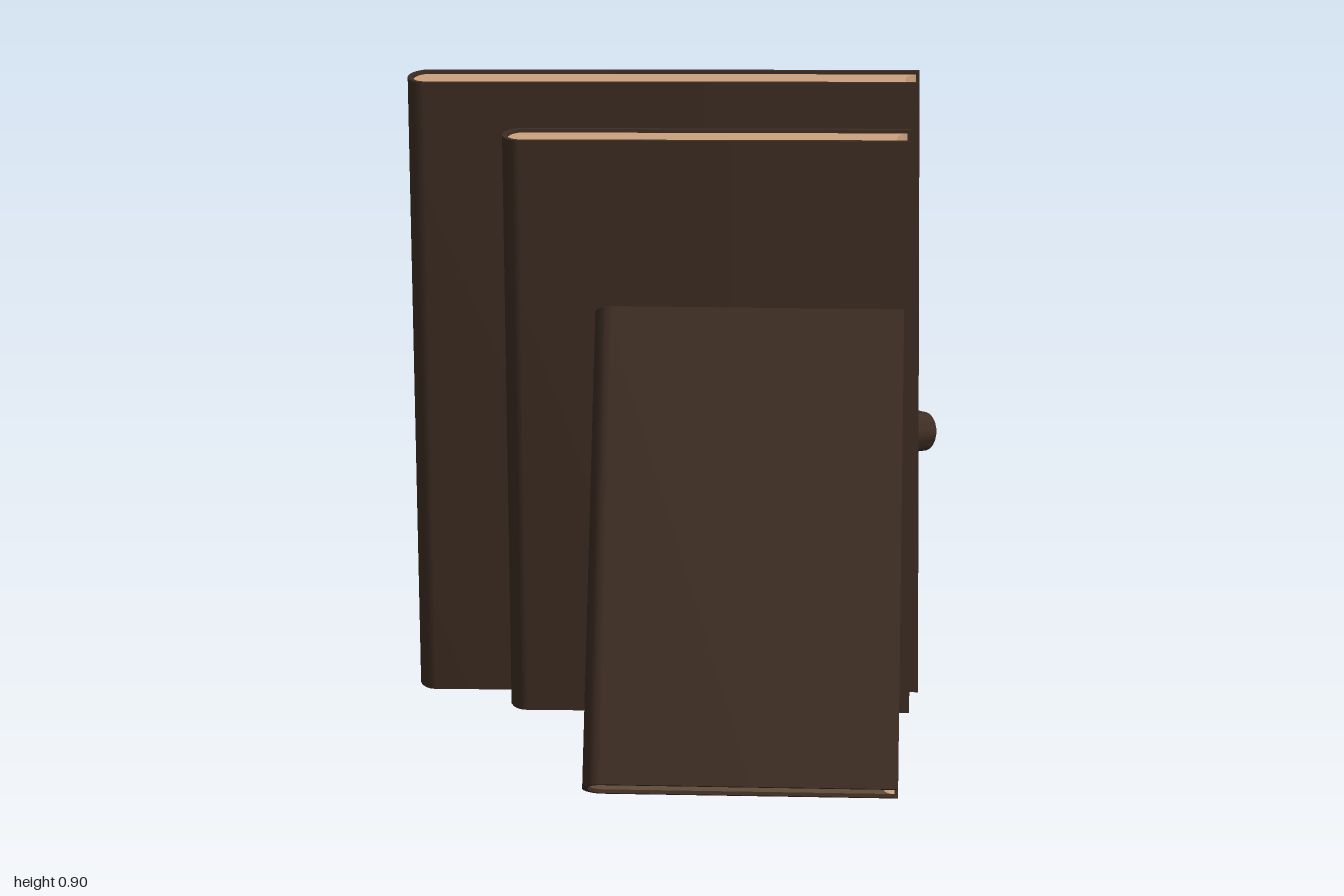
import * as THREE from 'three';
import { toCreasedNormals } from 'three/addons/utils/BufferGeometryUtils.js';

const cover = new THREE.MeshStandardMaterial({ color: 0x3f2e24 });
cover.name = 'darkBrownCover';
const paper = new THREE.MeshStandardMaterial({ color: 0xcda47f });
paper.name = 'tanPaper';

const BOARD = 0.007; // cover thickness
const BULGE = 0.026; // depth of the rounded spine
const INSET = 0.005; // pages sit slightly inside the cover

// Points of a half ellipse facing -x, from +half to -half
function arc(cx, depth, half, n = 10) {
  return Array.from({ length: n + 1 }, (_, i) => {
    const a = Math.PI / 2 + (Math.PI * i) / n;
    return new THREE.Vector2(cx + depth * Math.cos(a), half * Math.sin(a));
  });
}

// Extrudes a plan outline (x, thickness) upward
function upright(points, height, material, name) {
  const extruded = new THREE.ExtrudeGeometry(new THREE.Shape(points), { depth: height, bevelEnabled: false });
  extruded.rotateX(-Math.PI / 2);
  const mesh = new THREE.Mesh(toCreasedNormals(extruded, 0.6), material);
  mesh.name = name;
  return mesh;
}

// Book with its spine at x = 0, opening toward +x, standing on y = 0
function makeBook(name, width, height, thickness) {
  const book = new THREE.Group();
  book.name = name;
  const h = thickness / 2;
  const p = h - BOARD;
  const V = (x, y) => new THREE.Vector2(x, y);

  // Two boards and a rounded spine in one U-shaped profile
  const outer = arc(BULGE, BULGE, h);
  const inner = arc(BULGE, BULGE - BOARD, p).reverse();
  book.add(upright([V(width, h), ...outer, V(width, -h), V(width, -p), ...inner, V(width, p)], height, cover, 'cover'));

  // Page block with a hollow fore edge
  const back = arc(BULGE, BULGE - BOARD, p);
  const fore = arc(width - INSET, 0.014, p).reverse();
  const pages = upright([...back, ...fore], height - 2 * INSET, paper, 'pages');
  pages.position.y = INSET;
  book.add(pages);
  return book;
}

export function createModel() {
  const model = new THREE.Group();
  model.name = 'books';

  // Standing row: spine x, bottom y, z, width, height, thickness, forward lean, sideways lean
  const row = [
    ['leaningBook', -0.1, 0.03, 0.96, 0.424, 0.657, 0.088, -0.491, 0],
    ['mediumBook', -0.229, 0.012, 0.55, 0.566, 0.824, 0.084, -0.011, 0.008],
    ['tallBook', -0.367, 0.012, 0.461, 0.716, 0.886, 0.093, -0.012, 0.009],
    ['shortBook', -0.098, 0.014, 0.349, 0.42, 0.655, 0.093, -0.014, 0],
    ['thinBook', -0.098, 0.014, 0.259, 0.42, 0.617, 0.065, -0.014, 0],
    ['tiltedBook', -0.098, 0.014, 0.171, 0.42, 0.656, 0.09, -0.03, 0],
    ['wideBook', -0.168, 0.003, 0.032, 0.493, 0.77, 0.112, -0.014, 0],
  ];
  for (const [name, x, y, z, w, h, t, lean, side] of row) {
    const book = makeBook(name, w, h, t);
    book.position.set(x, y, z);
    book.rotation.set(name === 'tiltedBook' ? -lean : lean, 0, side);
    // The tilted book leans away from the rest
    if (name === 'tiltedBook') book.rotation.x = lean;
    model.add(book);
  }

  // Lying books: origin, direction across the cover, direction along the spine
  const lay = (book, origin, across, along) => {
    const x = new THREE.Vector3(...across).normalize();
    const y = new THREE.Vector3(...along).normalize();
    book.quaternion.setFromRotationMatrix(new THREE.Matrix4().makeBasis(x, y, x.clone().cross(y)));
    book.position.set(...origin);
    model.add(book);
  };
  lay(makeBook('lyingBook', 0.346, 0.545, 0.05), [0.053, 0.035, -0.063], [0.642, 0, -0.766], [-0.766, 0, -0.642]);
  lay(makeBook('propedBook', 0.41, 0.63, 0.065), [0.375, 0.047, -0.735], [-0.762, 0, -0.647], [-0.647, 0.13, 0.762]);
  return model;
}
